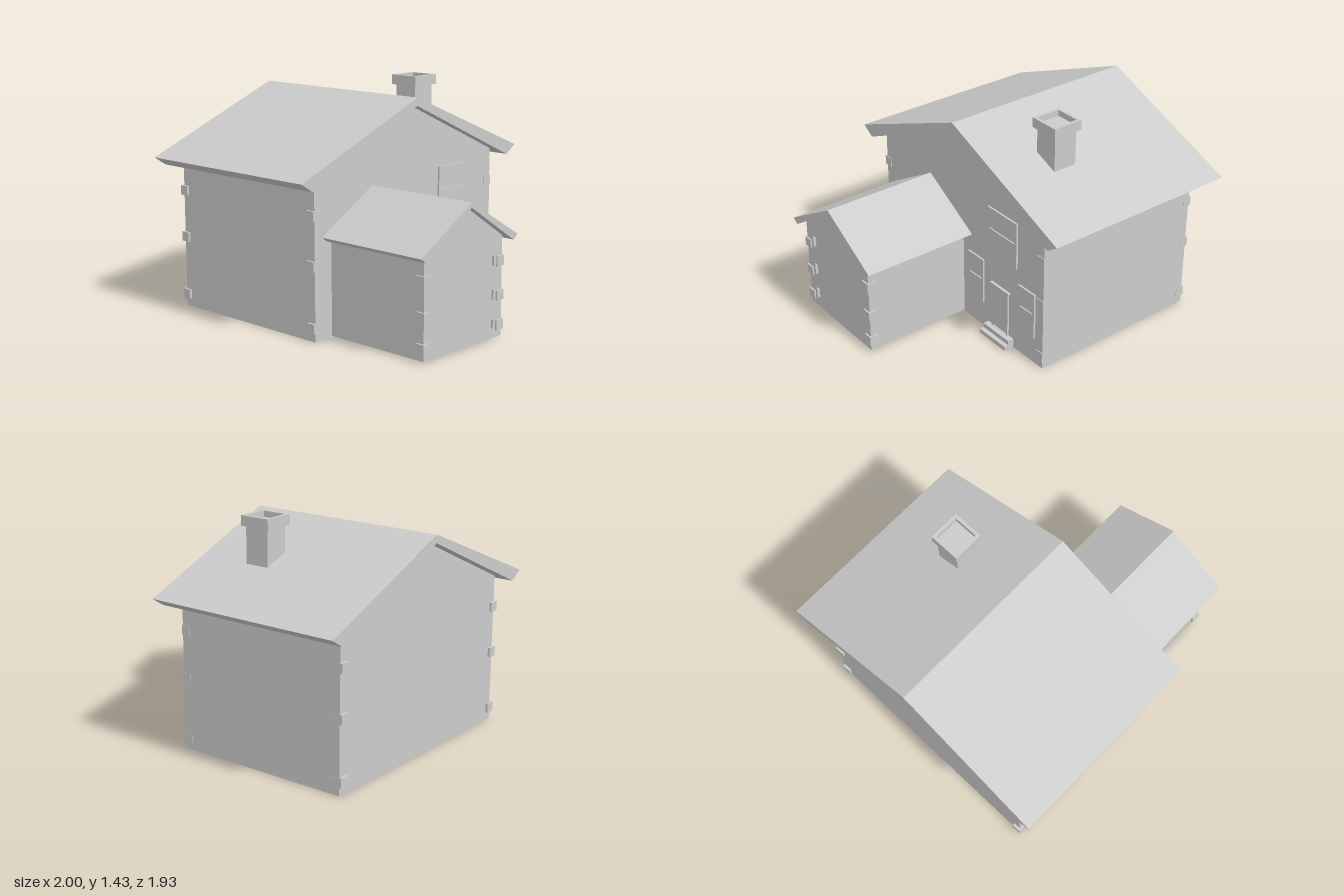
import * as THREE from 'three';

const material = new THREE.MeshStandardMaterial({ color: 0xcccccc, flatShading: true });

export function createModel() {
  const house = new THREE.Group();
  house.name = 'house';

  const add = (name, geometry) => {
    const mesh = new THREE.Mesh(geometry, material);
    mesh.name = name;
    house.add(mesh);
    return mesh;
  };

  // Box given by its limits on each axis
  const box = (name, x0, x1, y0, y1, z0, z1) => {
    const g = new THREE.BoxGeometry(x1 - x0, y1 - y0, z1 - z0);
    return add(name, g.translate((x0 + x1) / 2, (y0 + y1) / 2, (z0 + z1) / 2));
  };

  // Profile of [z, y] points, extruded along x, with optional holes
  const toPoints = (pts) => pts.map(([z, y]) => new THREE.Vector2(-z, y));
  const extrudeX = (name, pts, x0, x1, holes = []) => {
    const shape = new THREE.Shape(toPoints(pts));
    holes.forEach((h) => shape.holes.push(new THREE.Path(toPoints(h))));
    const g = new THREE.ExtrudeGeometry(shape, { depth: x1 - x0, bevelEnabled: false });
    return add(name, g.rotateY(Math.PI / 2).translate(x0, 0, 0));
  };

  const rect = (z0, z1, y0, y1) => [[z0, y0], [z1, y0], [z1, y1], [z0, y1]];

  // Rectangular frame facing +x
  const frame = (name, x0, x1, z0, z1, y0, y1, t) =>
    extrudeX(name, rect(z0, z1, y0, y1), x0, x1, [rect(z0 + t, z1 - t, y0 + t, y1 - t)]);

  // Gable roof slab: ridge, outer eave tip and lower eave tip
  const roof = (name, zc, top, under, out, outY, low, lowY, x0, x1) =>
    extrudeX(name, [
      [zc, top], [zc + out, outY], [zc + low, lowY],
      [zc, under], [zc - low, lowY], [zc - out, outY],
    ], x0, x1);

  // Corner blocks on the four edges of a building
  const cornerBlocks = (name, xs, zs, heights) => {
    for (const x of xs) for (const z of zs) for (const y of heights)
      box(name, x - 0.03, x + 0.03, y - 0.03, y + 0.03, z - 0.03, z + 0.03);
  };

  // Main building
  extrudeX('mainWalls', [
    [0.805, 0], [0.805, 0.939], [0, 1.306], [-0.785, 0.948], [-0.785, 0],
  ], -0.915, 0.245);
  roof('mainRoof', 0, 1.355, 1.305, 0.965, 0.96, 0.88, 0.905, -1, 0.31);
  cornerBlocks('mainCornerBlock', [-0.9, 0.22], [0.79, -0.757], [0.08, 0.45, 0.745]);

  // Side wing, its gable end holding a recessed door panel
  const wing = [
    [0.67, 0.01], [0.67, 0.61], [0.325, 0.832], [-0.015, 0.61], [-0.015, 0.01],
  ];
  const opening = [
    [0.6, 0.07], [0.6, 0.525], [0.325, 0.67], [0.06, 0.525], [0.06, 0.07],
  ];
  extrudeX('wingWalls', wing, 0.235, 0.925);
  extrudeX('wingGable', wing, 0.925, 0.955, [opening]);
  roof('wingRoof', 0.322, 0.86, 0.83, 0.423, 0.612, 0.385, 0.583, 0.245, 1);
  cornerBlocks('wingCornerBlock', [0.935], [0.651, 0.007], [0.08, 0.26, 0.465]);

  // Sash windows on the side wall
  const sashWindow = (z0, z1, y0, y1) => {
    const mid = (y0 + y1) / 2;
    frame('windowFrame', 0.24, 0.257, z0, z1, y0, y1, 0.016);
    box('windowRail', 0.24, 0.253, mid - 0.008, mid + 0.008, z0 + 0.01, z1 - 0.01);
  };
  sashWindow(-0.545, -0.27, 0.585, 0.895);
  sashWindow(-0.225, -0.07, 0.18, 0.49);
  sashWindow(-0.715, -0.565, 0.18, 0.49);

  // Entrance door with lintel and steps
  frame('doorFrame', 0.24, 0.257, -0.465, -0.31, 0.05, 0.37, 0.012);
  box('doorLintel', 0.24, 0.263, 0.365, 0.378, -0.477, -0.3);
  box('lowerStep', 0.24, 0.314, 0, 0.03, -0.51, -0.265);
  box('upperStep', 0.24, 0.285, 0.03, 0.06, -0.51, -0.265);

  // Chimney with a hollow cap
  const cx = -0.115, cz = -0.45;
  box('chimneyShaft', cx - 0.08, cx + 0.08, 1.0, 1.39, cz - 0.08, cz + 0.08);
  const square = (r) => [[-r, -r], [r, -r], [r, r], [-r, r]].map(([x, y]) => new THREE.Vector2(x, y));
  const cap = new THREE.Shape(square(0.1));
  cap.holes.push(new THREE.Path(square(0.08)));
  const capGeometry = new THREE.ExtrudeGeometry(cap, { depth: 0.063, bevelEnabled: false });
  add('chimneyCap', capGeometry.rotateX(-Math.PI / 2).translate(cx, 1.365, cz));

  return house;
}
